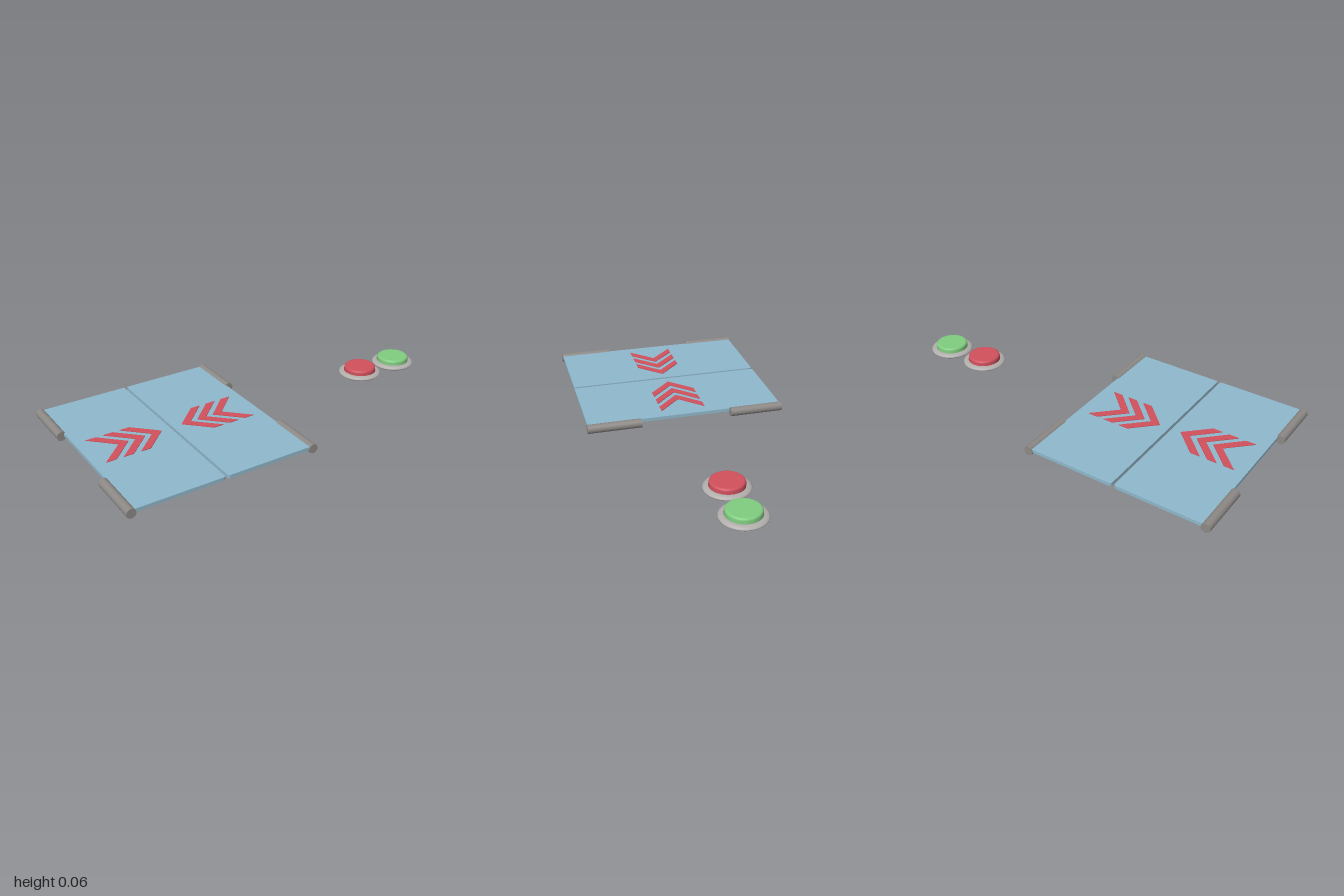
import * as THREE from 'three';

const paint = (color) => new THREE.MeshStandardMaterial({ color });
const glassBlue = paint(0x8fb8cc);
const hingeGrey = paint(0x8c8885);
const ringGrey = paint(0xb0adab);
const red = paint(0xd0505c);
const green = paint(0x80cc80);

const MID_X = -0.511; // centre line between the two doors

function add(parent, name, geometry, material, x = 0, y = 0, z = 0) {
  const mesh = new THREE.Mesh(geometry, material);
  mesh.name = name;
  mesh.position.set(x, y, z);
  parent.add(mesh);
  return mesh;
}

// Extrudes an x-z outline upwards from y = 0
function slab(shape, height) {
  const g = new THREE.ExtrudeGeometry(shape, { depth: height, bevelEnabled: false, curveSegments: 4 });
  return g.rotateX(-Math.PI / 2);
}

// Door leaf, rounded only at the corners of its meeting edge
function doorShape() {
  const x0 = -0.453, x1 = -0.007, z = 0.51, r = 0.012;
  const s = new THREE.Shape();
  s.moveTo(x0, -z);
  s.lineTo(x1 - r, -z);
  s.quadraticCurveTo(x1, -z, x1, -z + r);
  s.lineTo(x1, z - r);
  s.quadraticCurveTo(x1, z, x1 - r, z);
  s.lineTo(x0, z);
  s.closePath();
  return s;
}

// Chevron whose point faces +x
function chevronShape() {
  const h = 0.115, w = 0.05;
  return new THREE.Shape([[0, -h], [w, -h], [w + h, 0], [w, h], [0, h], [h, 0]]
    .map(([x, y]) => new THREE.Vector2(x, y)));
}

function createDoor(name) {
  const door = new THREE.Group();
  door.name = name;
  add(door, 'doorPanel', slab(doorShape(), 0.017), glassBlue, 0, 0.021, 0);
  // Three arrows pointing at the meeting edge
  for (let i = 0; i < 3; i++) {
    add(door, 'arrow', slab(chevronShape(), 0.005), red, -0.395 + i * 0.087, 0.036, 0.002);
  }
  // Hinge barrels at both ends of the outer edge
  for (const side of [-1, 1]) {
    const barrel = new THREE.CylinderGeometry(0.0235, 0.0235, 0.278, 20).rotateX(Math.PI / 2);
    add(door, 'hingeBarrel', barrel, hingeGrey, -0.4655, 0.0235, side * 0.375);
  }
  return door;
}

function lathe(points, segments = 48) {
  return new THREE.LatheGeometry(points.map(([r, y]) => new THREE.Vector2(r, y)), segments);
}

function createButton(name, material, x) {
  const button = new THREE.Group();
  button.name = name;
  button.position.set(x, 0, -0.003);
  // Hollow bezel, with doubled points keeping the rims crisp
  add(button, 'buttonBezel', lathe([
    [0.086, 0.018], [0.086, 0.018], [0.107, 0.018], [0.107, 0.018], [0.112, 0.022], [0.112, 0.026],
    [0.108, 0.031], [0.1, 0.035], [0.09, 0.037], [0.086, 0.037], [0.086, 0.037], [0.086, 0.018],
  ]), ringGrey);
  // Push cap with a softened top edge
  add(button, 'buttonCap', lathe([
    [0, 0.028], [0.084, 0.028], [0.084, 0.028], [0.084, 0.052], [0.082, 0.058],
    [0.077, 0.062], [0.073, 0.062], [0, 0.062],
  ]), material);
  return button;
}

export function createModel() {
  const model = new THREE.Group();
  model.name = 'doubleDoorWithButtons';

  // Second door is the first one turned half way round
  const rightDoor = createDoor('rightDoor');
  const leftDoor = createDoor('leftDoor');
  leftDoor.rotation.y = Math.PI;
  for (const door of [rightDoor, leftDoor]) {
    door.position.x = MID_X;
    model.add(door);
  }

  model.add(createButton('redButton', red, 0.652));
  model.add(createButton('greenButton', green, 0.886));
  return model;
}
